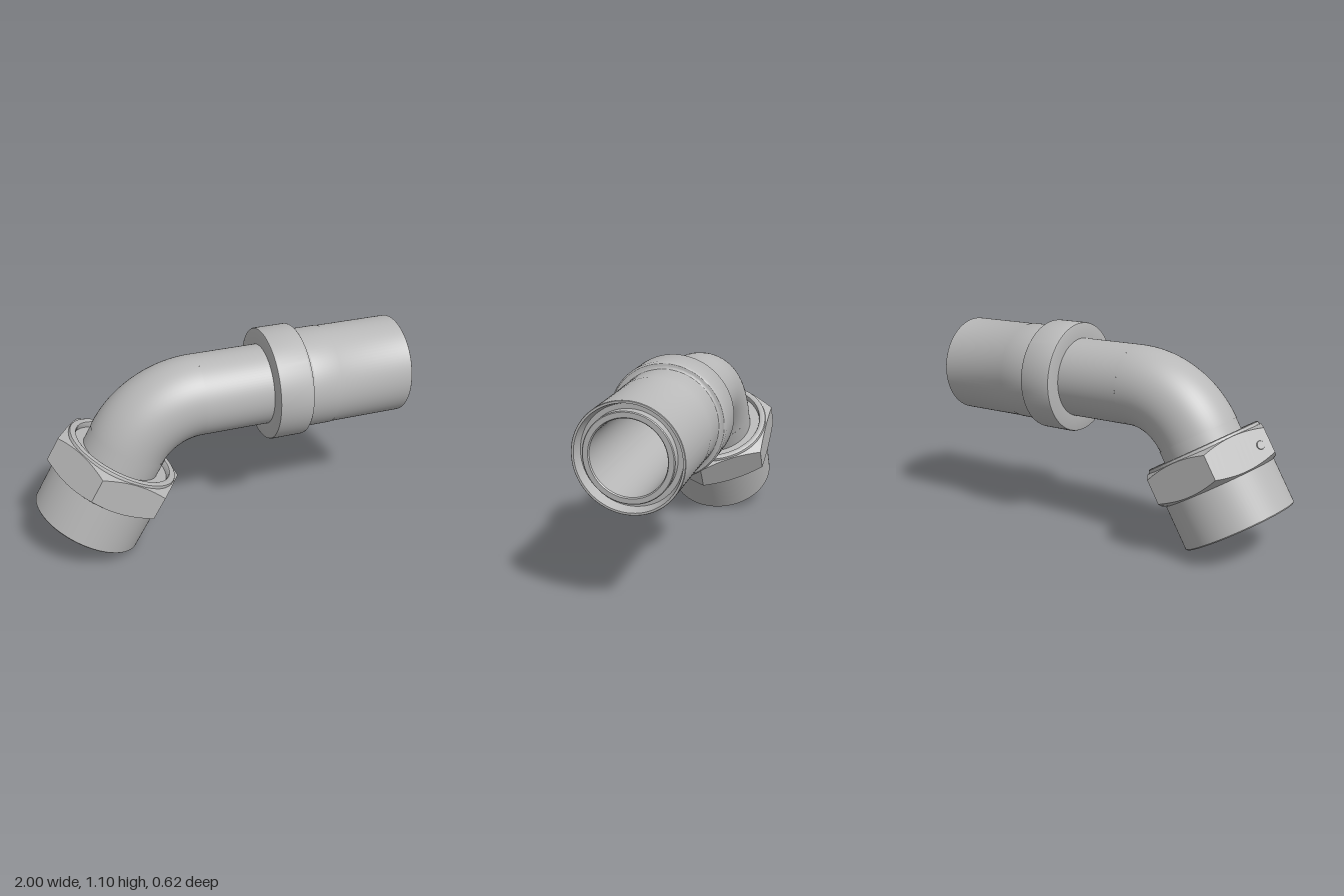
import * as THREE from 'three';
import { toCreasedNormals } from 'three/addons/utils/BufferGeometryUtils.js';

const steel = new THREE.MeshStandardMaterial({ color: 0xb8b8b8, side: THREE.DoubleSide });
steel.name = 'steel grey';

function part(name, geometry) {
  const mesh = new THREE.Mesh(geometry, steel);
  mesh.name = name;
  return mesh;
}

// Turned part from [radius, height] points, sharp only at real edges
function turned(name, profile) {
  const points = profile.map(([r, y]) => new THREE.Vector2(r, y));
  return part(name, toCreasedNormals(new THREE.LatheGeometry(points, 96), 0.55));
}

// Hexagon whose corners are cut by a cone above and below
function hexGeometry(inradius, bottom, top) {
  const perSide = 12, n = perSide * 6, positions = [], index = [];
  for (let i = 0; i <= n; i++) {
    const a = (i / n) * Math.PI * 2;
    const r = inradius / Math.cos((a % (Math.PI / 3)) - Math.PI / 6);
    const cut = (r - inradius) * 0.52;
    const section = [[0.296, bottom - 0.008], [r, bottom + cut], [r, top - cut], [0.29, top + 0.004]];
    for (const [rad, y] of section) positions.push(rad * Math.cos(a), y, rad * Math.sin(a));
  }
  for (let i = 0; i < n; i++) {
    for (let j = 0; j < 3; j++) {
      const a = i * 4 + j, b = a + 4;
      index.push(a, a + 1, b, b, a + 1, b + 1);
    }
  }
  const geometry = new THREE.BufferGeometry();
  geometry.setAttribute('position', new THREE.Float32BufferAttribute(positions, 3));
  geometry.setIndex(index);
  return toCreasedNormals(geometry, 0.5);
}

export function createModel() {
  const model = new THREE.Group();
  model.name = 'pipeElbow';
  const axisY = 0.803, bendX = -0.12, bendR = 0.43, outer = 0.213, bore = 0.18;

  // Sixty degree bend, outside and bore
  for (const [name, r] of [['bendOuter', outer], ['bendBore', bore]]) {
    const bend = part(name, new THREE.TorusGeometry(bendR, r, 64, 48, Math.PI / 3));
    bend.position.set(bendX, axisY - bendR, 0);
    bend.rotation.z = Math.PI / 2;
    model.add(bend);
  }

  // Straight arm: local y runs along +x
  const arm = new THREE.Group();
  arm.name = 'straightArm';
  arm.position.y = axisY;
  arm.rotation.z = -Math.PI / 2;
  arm.add(
    turned('straightPipe', [[outer, bendX], [outer, 0.992], [0.209, 0.996], [0.185, 0.996], [bore, 0.99], [bore, bendX]]),
    turned('collar', [
      [outer, 0.24], [0.288, 0.24], [0.295, 0.243], [0.298, 0.25], [0.298, 0.412],
      [0.296, 0.42], [0.29, 0.426], [0.28, 0.428], [0.272, 0.43], [0.266, 0.436], [0.264, 0.445],
    ]),
    turned('sleeve', [
      [0.264, 0.44], [0.264, 0.588], [0.262, 0.592], [0.262, 0.998], [0.26, 1],
      [0.25, 1], [0.237, 0.95], [outer, 0.95],
    ]),
  );
  model.add(arm);

  // Threaded end: local y runs from the open mouth up to the bend
  const end = new THREE.Group();
  end.name = 'nutEnd';
  end.position.set(-0.742, 0.15, 0);
  end.rotation.z = -Math.PI / 6;
  end.add(
    turned('nutSkirt', [
      [0.213, 0.3], [0.268, 0.08], [0.274, 0.06], [0.274, 0.012], [0.284, 0],
      [0.293, 0], [0.298, 0.006], [0.298, 0.25],
    ]),
    part('hexNut', hexGeometry(0.312, 0.25, 0.43)),
    turned('nutLip', [
      [0.306, 0.42], [0.306, 0.436], [0.303, 0.443], [0.296, 0.447], [0.28, 0.447],
      [0.272, 0.444], [0.268, 0.437], [0.268, 0.412], [outer, 0.412],
    ]),
    turned('nutPipe', [[bore, 0.16], [outer, 0.16], [outer, 0.506]]),
    turned('nutPipeBore', [[bore, 0.506], [bore, 0.16]]),
  );

  // Small round mark on one flat of the nut
  const mark = part('nutMark', new THREE.CylinderGeometry(0.02, 0.023, 0.006, 24));
  const normal = new THREE.Vector3(-Math.cos(Math.PI / 6), 0, -0.5);
  mark.position.set(-0.331, 0.335, -0.05).addScaledVector(normal, 0.002);
  mark.quaternion.setFromUnitVectors(new THREE.Vector3(0, 1, 0), normal);
  end.add(mark);
  model.add(end);

  return model;
}
